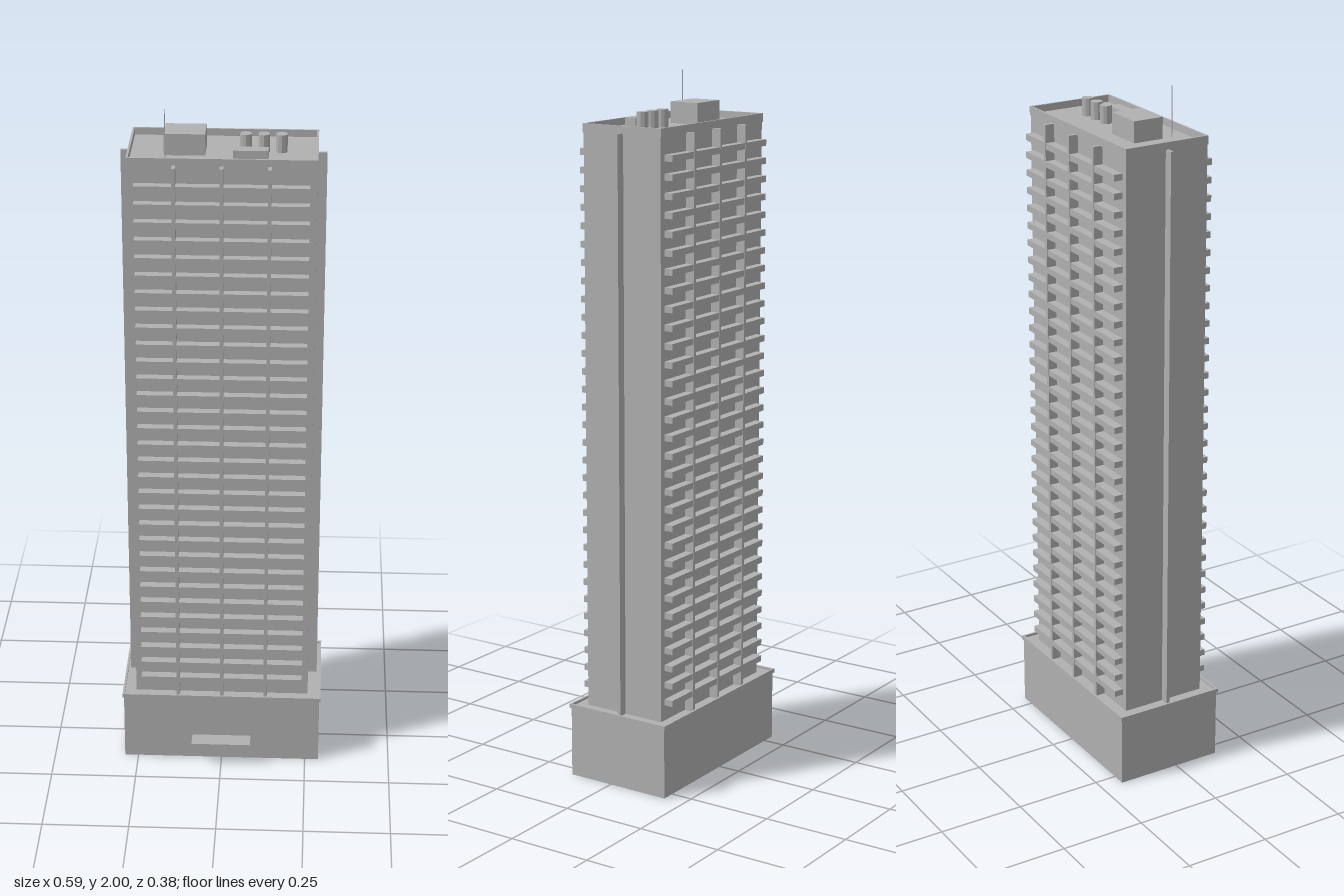
import * as THREE from 'three';

const concrete = new THREE.MeshStandardMaterial({ color: 0xb0b0b0 });
concrete.name = 'concrete grey';
concrete.side = THREE.DoubleSide;

const CZ = -0.0245; // depth centre of tower and podium

function add(parent, name, geometry) {
  const mesh = new THREE.Mesh(geometry, concrete);
  mesh.name = name;
  parent.add(mesh);
  return mesh;
}

// Box given by its limits on each axis
function block(parent, name, x0, x1, y0, y1, z0, z1) {
  const g = new THREE.BoxGeometry(x1 - x0, y1 - y0, z1 - z0);
  g.translate((x0 + x1) / 2, (y0 + y1) / 2, (z0 + z1) / 2);
  return add(parent, name, g);
}

// Rectangular rim lying flat, centred on the tower
function rim(parent, name, hx, hz, wall, y0, y1) {
  const rect = (P, a, b) => new P([
    new THREE.Vector2(-a, -b), new THREE.Vector2(a, -b),
    new THREE.Vector2(a, b), new THREE.Vector2(-a, b),
  ]);
  const shape = rect(THREE.Shape, hx, hz);
  shape.holes.push(rect(THREE.Path, hx - wall, hz - wall));
  const g = new THREE.ExtrudeGeometry(shape, { depth: y1 - y0, bevelEnabled: false });
  g.rotateX(-Math.PI / 2).translate(0, y0, CZ);
  return add(parent, name, g);
}

export function createModel() {
  const model = new THREE.Group();
  model.name = 'highRiseTower';

  // Podium: hollow, open underneath
  const shell = new THREE.BoxGeometry(0.58, 0.21, 0.322);
  const index = Array.from(shell.index.array);
  index.splice(18, 6);
  shell.setIndex(index);
  shell.clearGroups();
  shell.translate(0, 0.105, CZ);
  add(model, 'podium', shell);
  rim(model, 'podiumRim', 0.294, 0.165, 0.006, 0.205, 0.217);
  block(model, 'entranceCanopy', -0.087, 0.087, 0.073, 0.078, 0.136, 0.187);

  // Tower shaft and parapet
  block(model, 'towerShaft', -0.255, 0.255, 0.21, 1.86, CZ - 0.1265, CZ + 0.1265);
  rim(model, 'parapet', 0.257, 0.1285, 0.006, 1.855, 1.88);

  // Balconies and vertical fins on front and back
  for (const side of [1, -1]) {
    const facade = new THREE.Group();
    facade.name = side > 0 ? 'frontFacade' : 'backFacade';
    model.add(facade);
    const a = CZ + side * 0.125, b = CZ + side * 0.153;
    const z0 = Math.min(a, b), z1 = Math.max(a, b);
    for (let i = 0; i < 31; i++) {
      const y = 0.264 + i * 0.0512;
      block(facade, 'balcony', -0.237, 0.237, y - 0.009, y + 0.009, z0, z1);
    }
    for (const x of [-0.129, 0, 0.129]) {
      block(facade, 'facadeFin', x - 0.005, x + 0.005, 0.21, 1.86, z0 - 0.001, z1 + 0.001);
    }
    // Single fin on each narrow side
    const x0 = side > 0 ? 0.254 : -0.281;
    block(model, 'sideFin', x0, x0 + 0.027, 0.21, 1.86, CZ - 0.0045, CZ + 0.0045);
  }

  // Rooftop equipment
  const roof = new THREE.Group();
  roof.name = 'roofEquipment';
  model.add(roof);
  block(roof, 'liftHouse', -0.16, -0.048, 1.86, 1.92, -0.069, 0.021);
  block(roof, 'airUnit', 0.028, 0.123, 1.86, 1.888, 0.022, 0.057);
  for (const x of [0.06, 0.109, 0.157]) {
    const g = new THREE.CylinderGeometry(0.0165, 0.0165, 0.05, 10).toNonIndexed();
    g.computeVertexNormals();
    add(roof, 'ventStack', g).position.set(x, 1.885, CZ);
  }
  add(roof, 'antenna', new THREE.CylinderGeometry(0.0014, 0.0014, 0.14, 6)).position.set(-0.155, 1.93, 0.053);

  return model;
}
